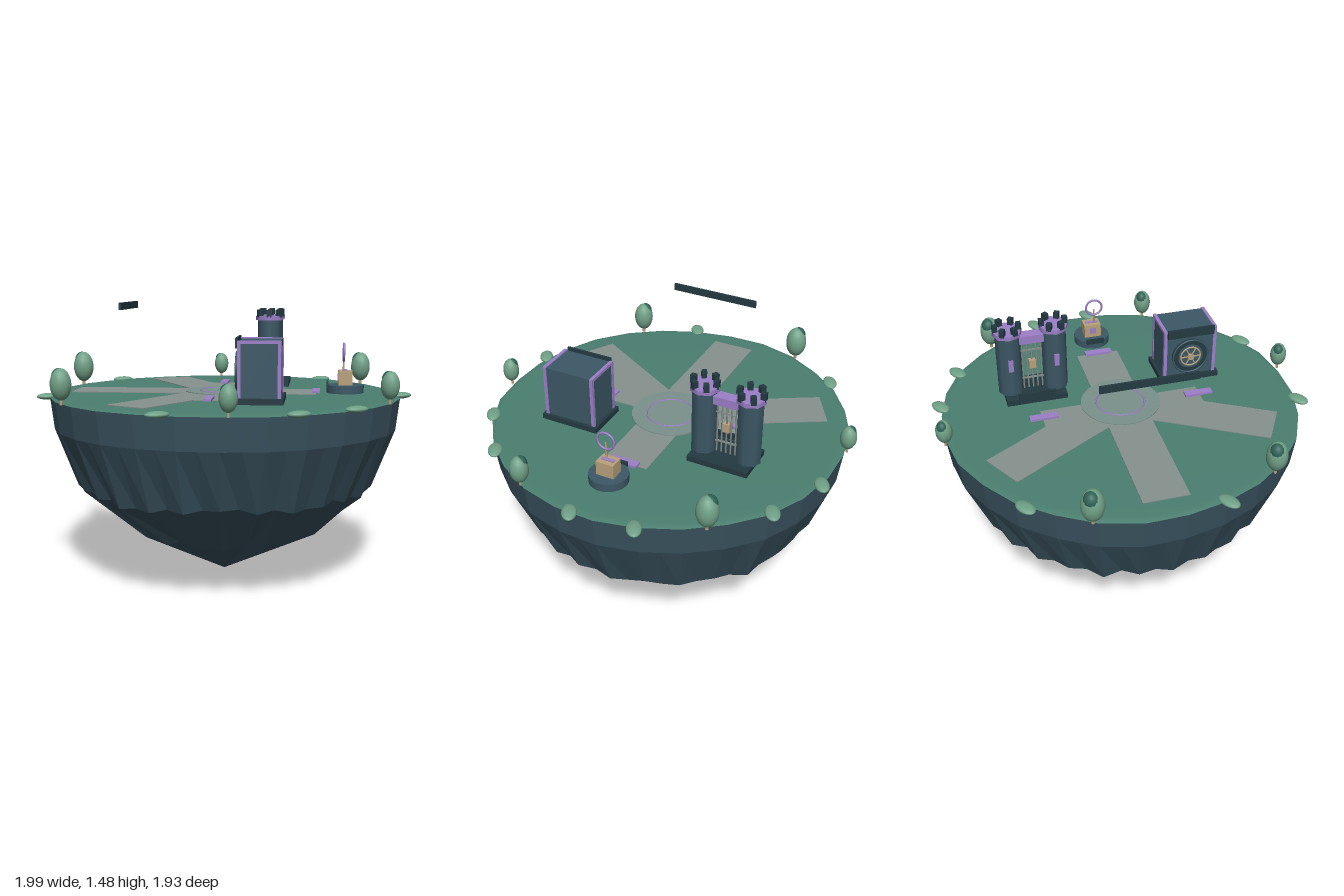
import * as THREE from 'three';

const mat = (name, color, extra = {}) => {
  const m = new THREE.MeshStandardMaterial({ color, ...extra });
  m.name = name;
  return m;
};

export function createModel() {
  const rock = mat('slate rock', 0x3a5360, { flatShading: true });
  const grass = mat('grass', 0x4a7f70);
  const paving = mat('paving', 0x87918d);
  const plaza = mat('plaza stone', 0x7b918b);
  const stone = mat('building stone', 0x3c5866);
  const dark = mat('dark slate', 0x243a42);
  const purple = mat('violet trim', 0x9c7fc8);
  const tan = mat('brass', 0xb9a17c);
  const leaf = mat('foliage', 0x70a087);
  const deepLeaf = mat('deep foliage', 0x2f6257);

  const model = new THREE.Group();
  model.name = 'floatingIsland';
  const HUB_Z = -0.028;

  const add = (parent, name, geo, material, x = 0, y = 0, z = 0) => {
    const mesh = new THREE.Mesh(geo, material);
    mesh.name = name;
    mesh.position.set(x, y, z);
    parent.add(mesh);
    return mesh;
  };
  const box = (parent, name, w, h, d, material, x, y, z) =>
    add(parent, name, new THREE.BoxGeometry(w, h, d), material, x, y, z);
  const cyl = (parent, name, r, h, sides, material, x, y, z) =>
    add(parent, name, new THREE.CylinderGeometry(r, r, h, sides), material, x, y, z);

  // Island: rings [radius, y, flute depth, y wobble] joined from top to bottom
  const noise = (i, k) => {
    const s = Math.sin(i * 127.1 + k * 311.7) * 43758.5453;
    return (s - Math.floor(s)) * 2 - 1;
  };
  const COLS = 56;
  const outline = (j) => {
    const at = (i) => {
      const a = (i / COLS) * Math.PI * 2, r = 1 + 0.008 * noise(i % COLS, 1);
      return [Math.sin(a) * r, Math.cos(a) * r];
    };
    if (j % 2 === 0) return at(j);
    const [p, q] = [at(j - 1), at(j + 1)];
    return [(p[0] + q[0]) / 2, (p[1] + q[1]) / 2];
  };
  const loft = (rings) => {
    const pos = [], index = [];
    rings.forEach(([r, y, flute, wobble], i) => {
      for (let j = 0; j <= COLS; j++) {
        const c = j % COLS, [ox, oz] = outline(c);
        const k = r * (1 + flute * ((c % 2 ? -0.5 : 0.5) + 0.6 * noise(c, i + 3)));
        pos.push(ox * k, y + wobble * noise(c, i + 9), oz * k);
        if (i < rings.length - 1 && j < COLS) {
          const a = i * (COLS + 1) + j, b = a + COLS + 1;
          index.push(a, b, b + 1, a, b + 1, a + 1);
        }
      }
    });
    const g = new THREE.BufferGeometry();
    g.setAttribute('position', new THREE.Float32BufferAttribute(pos, 3));
    g.setIndex(index);
    g.computeVertexNormals();
    return g;
  };
  add(model, 'rockUnderside', loft([
    [0.945, 0.985, 0, 0], [0.925, 0.82, 0, 0], [0.79, 0.5, 0.02, 0.018],
    [0.46, 0.235, 0.1, 0.012], [0, 0, 0, 0],
  ]), rock, 0, 0, HUB_Z);
  add(model, 'grassTop', loft([[0, 0.997, 0, 0], [0.91, 0.997, 0, 0], [0.945, 0.985, 0, 0]]),
    grass, 0, 0, HUB_Z);

  // Paths radiating from the plaza: angle, start, end, sideways shift
  const path = (degrees, start, end, shift = 0) => {
    const g = new THREE.Group();
    g.name = 'path';
    g.position.z = HUB_Z;
    g.rotation.y = THREE.MathUtils.degToRad(degrees);
    box(g, 'pathSlab', end - start, 0.006, 0.235, paving, (start + end) / 2, 0.998, shift);
    model.add(g);
  };
  [90, 150, 210].forEach((d) => path(d, 0, 0.82));
  path(-30, 0, 0.5);
  path(60, -0.43, 0.43, -0.088);
  cyl(model, 'plaza', 0.21, 0.012, 40, plaza, 0, 0.999, HUB_Z);
  const plazaRing = add(model, 'plazaRing', new THREE.TorusGeometry(0.129, 0.004, 6, 48), purple, 0, 1.005, HUB_Z);
  plazaRing.rotation.x = Math.PI / 2;

  // Every building shares one heading; local +z is its front
  const station = (name, x, z) => {
    const g = new THREE.Group();
    g.name = name;
    g.position.set(x, 1, z);
    g.rotation.y = -Math.PI * 2 / 3;
    model.add(g);
    return g;
  };

  // Vault
  const vault = station('vault', -0.016, 0.452);
  box(vault, 'vaultBase', 0.325, 0.03, 0.24, dark, 0, 0.013, 0);
  box(vault, 'vaultBody', 0.285, 0.28, 0.205, stone, 0, 0.165, 0);
  for (const sx of [-1, 1]) {
    for (const sz of [-1, 1])
      box(vault, 'cornerPost', 0.018, 0.28, 0.018, purple, sx * 0.138, 0.167, sz * 0.099);
    box(vault, 'roofTrim', 0.018, 0.016, 0.21, purple, sx * 0.138, 0.302, 0);
  }
  box(vault, 'vaultSign', 0.26, 0.05, 0.012, dark, 0, 0.296, 0.114);
  const disc = (parent, name, r, h, material, y, z) => {
    cyl(parent, name, r, h, 32, material, 0, y, z).rotation.x = Math.PI / 2;
  };
  disc(vault, 'vaultDoor', 0.1, 0.016, dark, 0.15, 0.108);
  disc(vault, 'doorPlate', 0.07, 0.02, stone, 0.15, 0.11);
  disc(vault, 'doorHub', 0.018, 0.034, tan, 0.15, 0.115);
  for (const r of [0.098, 0.055])
    add(vault, 'doorRing', new THREE.TorusGeometry(r, 0.005, 8, 36), r > 0.09 ? stone : tan, 0, 0.15, 0.119);
  for (let i = 0; i < 3; i++)
    box(vault, 'doorSpoke', 0.11, 0.006, 0.006, tan, 0, 0.15, 0.122).rotation.z = i * Math.PI / 3;

  // Twin-tower gate
  const gate = station('gate', 0.41, -0.278);
  box(gate, 'gateBase', 0.325, 0.03, 0.225, dark, 0, 0.013, 0);
  for (const s of [-1, 1]) {
    const x = s * 0.122;
    cyl(gate, 'tower', 0.066, 0.35, 8, stone, x, 0.2, 0);
    cyl(gate, 'towerCap', 0.078, 0.024, 8, purple, x, 0.386, 0);
    for (let i = 0; i < 6; i++) {
      const a = (i / 6) * Math.PI * 2;
      box(gate, 'merlon', 0.027, 0.042, 0.027, dark, x + Math.cos(a) * 0.062, 0.412, Math.sin(a) * 0.062).rotation.y = -a;
    }
    box(gate, 'towerBanner', 0.026, 0.07, 0.008, purple, x, 0.215, 0.064);
  }
  box(gate, 'gateLintel', 0.13, 0.045, 0.06, purple, 0, 0.337, 0);
  for (let i = -2; i <= 2; i++)
    cyl(gate, 'gateBar', 0.0045, 0.29, 6, paving, i * 0.025, 0.17, 0);
  for (const y of [0.09, 0.26]) box(gate, 'gateRail', 0.12, 0.008, 0.008, paving, 0, y, 0);
  box(gate, 'gateLock', 0.036, 0.048, 0.028, tan, 0, 0.178, 0.004);
  box(gate, 'gateSign', 0.2, 0.034, 0.012, dark, 0, 0.05, 0.115);

  // Kiosk with an upright ring
  const kiosk = station('kiosk', 0.565, 0.305);
  cyl(kiosk, 'kioskBase', 0.1, 0.042, 24, stone, 0, 0.021, 0);
  box(kiosk, 'kioskChest', 0.095, 0.076, 0.075, tan, 0, 0.08, 0);
  box(kiosk, 'chestSlot', 0.07, 0.006, 0.02, purple, 0, 0.119, 0);
  box(kiosk, 'chestPlate', 0.035, 0.035, 0.006, purple, 0, 0.082, 0.038);
  box(kiosk, 'kioskSign', 0.1, 0.028, 0.012, dark, 0, 0.045, 0.095);
  add(kiosk, 'kioskRing', new THREE.TorusGeometry(0.046, 0.006, 8, 32), purple, 0.015, 0.217, 0.01);
  cyl(kiosk, 'ringStem', 0.005, 0.09, 8, tan, 0.015, 0.16, 0.01);

  // Violet thresholds in front of each building
  [[vault, 0.263], [gate, 0.266], [kiosk, 0.155]].forEach(([g, z]) =>
    box(g, 'threshold', 0.15, 0.012, 0.042, purple, 0, 0.008, z));

  // Hovering board
  const board = station('hoveringBoard', -0.453, -0.29);
  box(board, 'boardPanel', 0.485, 0.038, 0.012, dark, 0, 0.463, 0);

  // Rim trees: x, z, radius
  const ball = new THREE.SphereGeometry(1, 16, 12);
  [[-0.572, -0.785, 0.058], [0.375, -0.9, 0.043], [0.941, -0.14, 0.056],
    [-0.943, 0.087, 0.054], [-0.375, 0.845, 0.044], [0.566, 0.733, 0.048]].forEach(([x, z, r]) => {
    const tree = new THREE.Group();
    tree.name = 'tree';
    tree.position.set(x, 0.985, z);
    cyl(tree, 'trunk', r * 0.16, 0.06, 8, tan, 0, 0.03, 0);
    add(tree, 'crown', ball, leaf, 0, 0.025 + r * 1.45, 0).scale.set(r, r * 1.5, r);
    add(tree, 'crownTop', ball, deepLeaf, -r * 0.1, 0.025 + r * 2.1, -r * 0.22).scale.set(r * 0.7, r * 0.85, r * 0.68);
    model.add(tree);
  });

  // Low rim bushes: x, z
  [[-0.278, -0.936], [0.652, -0.722], [0.85, -0.455], [-0.925, -0.24], [0.93, 0.193],
    [0.797, 0.492], [-0.652, 0.668], [-0.053, 0.92], [0.278, 0.882]].forEach(([x, z]) =>
    add(model, 'bush', ball, leaf, x, 0.993, z).scale.set(0.061, 0.017, 0.037));

  return model;
}
